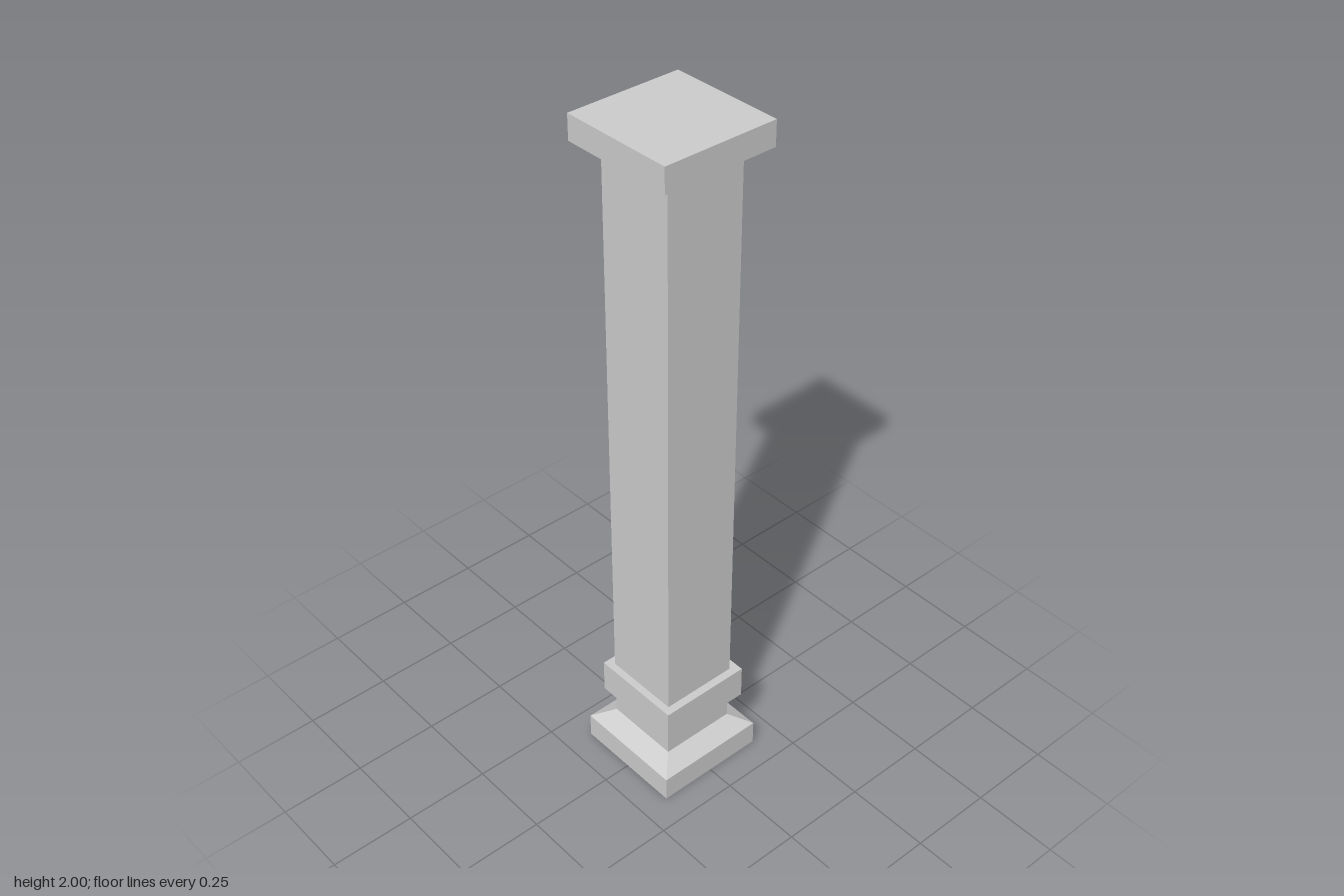
import * as THREE from 'three';

const material = new THREE.MeshStandardMaterial({ color: 0xcccccc, flatShading: true });

export function createModel() {
  const column = new THREE.Group();
  column.name = 'squareColumn';

  // Square block between two heights, tapering from one width to another
  function block(name, y0, y1, bottomWidth, topWidth = bottomWidth, x = 0, z = 0) {
    const geometry = new THREE.CylinderGeometry(
      topWidth * Math.SQRT1_2, bottomWidth * Math.SQRT1_2, y1 - y0, 4);
    geometry.rotateY(Math.PI / 4);
    const mesh = new THREE.Mesh(geometry, material);
    mesh.name = name;
    mesh.position.set(x, (y0 + y1) / 2, z);
    column.add(mesh);
  }

  // Base: plinth, sloped shoulder, neck and collar
  block('plinth', 0, 0.075, 0.334);
  block('slopedShoulder', 0.075, 0.108, 0.334, 0.225);
  block('neck', 0.108, 0.19, 0.225);
  block('collar', 0.19, 0.29, 0.276, 0.276, 0.002, 0.002);

  // Shaft and cap
  block('shaft', 0.29, 1.93, 0.229, 0.231, 0, 0.002);
  block('cap', 1.93, 2, 0.334);

  return column;
}
